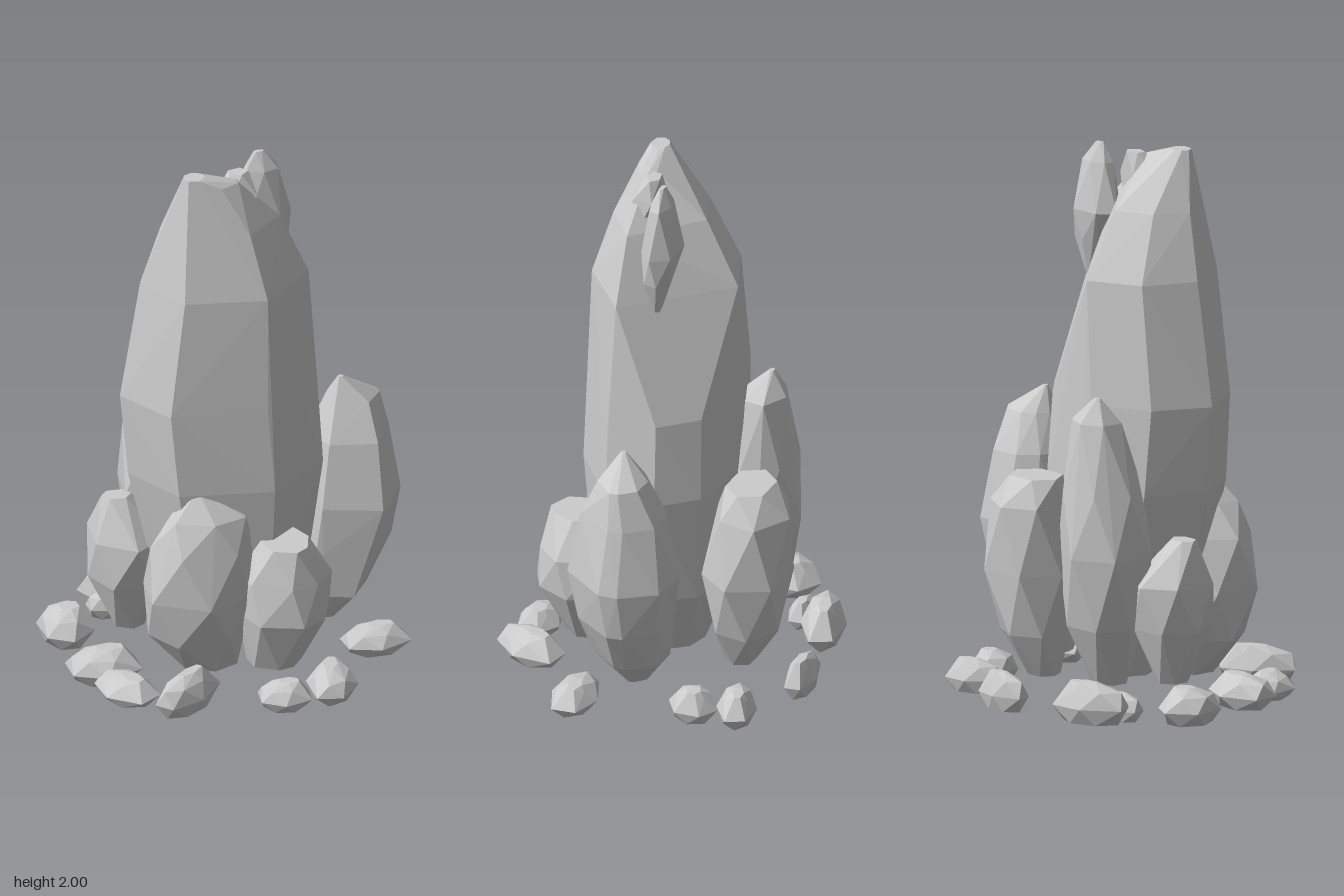
import * as THREE from 'three';
import { ConvexGeometry } from 'three/addons/geometries/ConvexGeometry.js';

const material = new THREE.MeshStandardMaterial({ color: 0xcccccc, flatShading: true });

// A faceted rock: the convex hull of stacked oval rings [y, centreX, centreZ, radiusX, radiusZ].
// The corners sit at the given angles, or at a ring's own; odd rings are turned by the stagger (degrees).
function rock(name, rings, angles, stagger) {
  const corners = [];
  rings.forEach(([y, cx, cz, rx, rz, ownAngles = angles], i) => {
    for (const angle of ownAngles) {
      const a = THREE.MathUtils.degToRad(angle + (i % 2) * stagger);
      corners.push(new THREE.Vector3(cx + rx * Math.cos(a), y, cz + rz * Math.sin(a)));
    }
  });
  const mesh = new THREE.Mesh(new ConvexGeometry(corners), material);
  mesh.name = name;
  return mesh;
}

// A loose stone: flat base, wide middle and a small off-centre crown
function stone(name, x, z, rx, rz, height, turn) {
  const mesh = rock(name, [
    [0, 0, 0, rx * 0.75, rz * 0.75],
    [height * 0.4, 0, 0, rx * 1.06, rz * 1.06],
    [height * 0.8, -rx * 0.1, 0, rx * 0.75, rz * 0.7],
    [height, rx * 0.15, -rz * 0.1, rx * 0.4, rz * 0.3],
  ], [0, 65, 120, 180, 245, 300], 25);
  mesh.position.set(x, 0, z);
  mesh.rotation.y = turn;
  return mesh;
}

export function createModel() {
  const group = new THREE.Group();
  group.name = 'rockFormation';
  const sixSided = [5, 60, 125, 185, 240, 305];

  // Tall central pillar, cut away towards the back left at the top
  const shoulder = [15, 72, 130, 180, 225, 267];
  group.add(rock('pillar', [
    [2, -0.16, 0.135, 0.04, 0.035],
    [1.96, -0.1, 0.13, 0.11, 0.05],
    [1.79, -0.045, 0.075, 0.22, 0.17, shoulder],
    [1.55, -0.025, 0.045, 0.31, 0.27, shoulder],
    [1.1, -0.045, 0.045, 0.365, 0.285],
    [0.78, -0.02, 0.045, 0.36, 0.295],
    [0.35, 0, 0.04, 0.28, 0.26],
    [0.07, 0, 0, 0.12, 0.11],
  ], [18, 72, 130, 180, 225, 265, 308, 340], 0));

  // Crystal and shard at the tip
  group.add(rock('tipCrystal', [
    [2, 0.12, 0, 0.02, 0.01],
    [1.93, 0.13, 0, 0.07, 0.04],
    [1.75, 0.13, -0.005, 0.11, 0.07],
    [1.64, 0.16, 0, 0.075, 0.05],
    [1.51, 0.17, 0, 0.015, 0.015],
  ], sixSided, 30));
  group.add(rock('tipShard', [
    [1.97, 0.02, 0.08, 0.04, 0.03],
    [1.89, 0.01, 0.1, 0.085, 0.065],
    [1.78, 0.03, 0.11, 0.07, 0.06],
  ], [0, 80, 150, 220, 290], 35));

  // Rocks leaning round the pillar
  group.add(rock('largeLeftRock', [
    [1.05, 0.42, 0.02, 0.01, 0.01],
    [0.96, 0.47, 0, 0.1, 0.09],
    [0.82, 0.46, 0, 0.145, 0.16],
    [0.57, 0.465, 0, 0.18, 0.205],
    [0.38, 0.45, 0, 0.165, 0.17],
    [0.2, 0.39, 0, 0.13, 0.14],
    [0.09, 0.35, 0, 0.07, 0.06],
  ], [0, 63, 137, 180, 213, 246, 294, 340], 5));
  group.add(rock('frontRightRock', [
    [0.79, -0.18, 0.26, 0.01, 0.01],
    [0.69, -0.14, 0.27, 0.15, 0.09],
    [0.57, -0.16, 0.25, 0.19, 0.155],
    [0.38, -0.175, 0.24, 0.21, 0.185],
    [0.2, -0.17, 0.22, 0.18, 0.15],
    [0.06, -0.12, 0.2, 0.11, 0.09],
  ], sixSided, 30));
  group.add(rock('frontLeftRock', [
    [0.575, 0.13, 0.31, 0.09, 0.12],
    [0.44, 0.135, 0.3, 0.17, 0.16],
    [0.29, 0.13, 0.3, 0.17, 0.18],
    [0.08, 0.1, 0.28, 0.1, 0.1],
  ], [0, 45, 80, 135, 180, 240, 300], 15));
  group.add(rock('sideRightRock', [
    [0.63, -0.39, -0.08, 0.055, 0.04],
    [0.47, -0.35, -0.09, 0.145, 0.17],
    [0.3, -0.35, -0.09, 0.14, 0.15],
    [0.1, -0.34, -0.09, 0.06, 0.06],
  ], sixSided, 30));
  group.add(rock('backRightRock', [
    [1.15, -0.17, -0.3, 0.015, 0.01],
    [1.06, -0.15, -0.28, 0.1, 0.085],
    [0.8, -0.16, -0.26, 0.155, 0.14],
    [0.57, -0.16, -0.25, 0.185, 0.17],
    [0.3, -0.15, -0.24, 0.145, 0.135],
    [0.08, -0.13, -0.2, 0.07, 0.06],
  ], sixSided, 30));
  group.add(rock('backLeftRock', [
    [0.83, 0.1, -0.34, 0.11, 0.09],
    [0.73, 0.12, -0.36, 0.15, 0.14],
    [0.48, 0.13, -0.34, 0.175, 0.165],
    [0.25, 0.12, -0.33, 0.135, 0.125],
    [0.09, 0.1, -0.3, 0.06, 0.06],
  ], sixSided, 30));

  // Loose stones on the ground: x, z, half length, half width, height, turn
  [
    [-0.29, -0.45, 0.15, 0.08, 0.15, 0.3],
    [-0.35, -0.34, 0.08, 0.05, 0.1, 0],
    [-0.545, -0.2, 0.1, 0.12, 0.13, 0],
    [-0.49, 0.12, 0.14, 0.1, 0.12, -0.1],
    [-0.45, 0.29, 0.13, 0.095, 0.09, -1.1],
    [-0.26, 0.42, 0.15, 0.07, 0.14, 0.6],
    [0.08, 0.5, 0.1, 0.08, 0.1, -0.2],
    [0.27, 0.45, 0.14, 0.09, 0.11, 1.2],
    [0.51, 0.17, 0.13, 0.085, 0.1, 0],
    [0.41, -0.25, 0.08, 0.09, 0.12, 0],
    [0.36, -0.4, 0.11, 0.07, 0.12, 0.3],
    [0.075, -0.53, 0.11, 0.055, 0.14, 0],
  ].forEach((values, i) => group.add(stone(`groundStone${i + 1}`, ...values)));

  return group;
}
